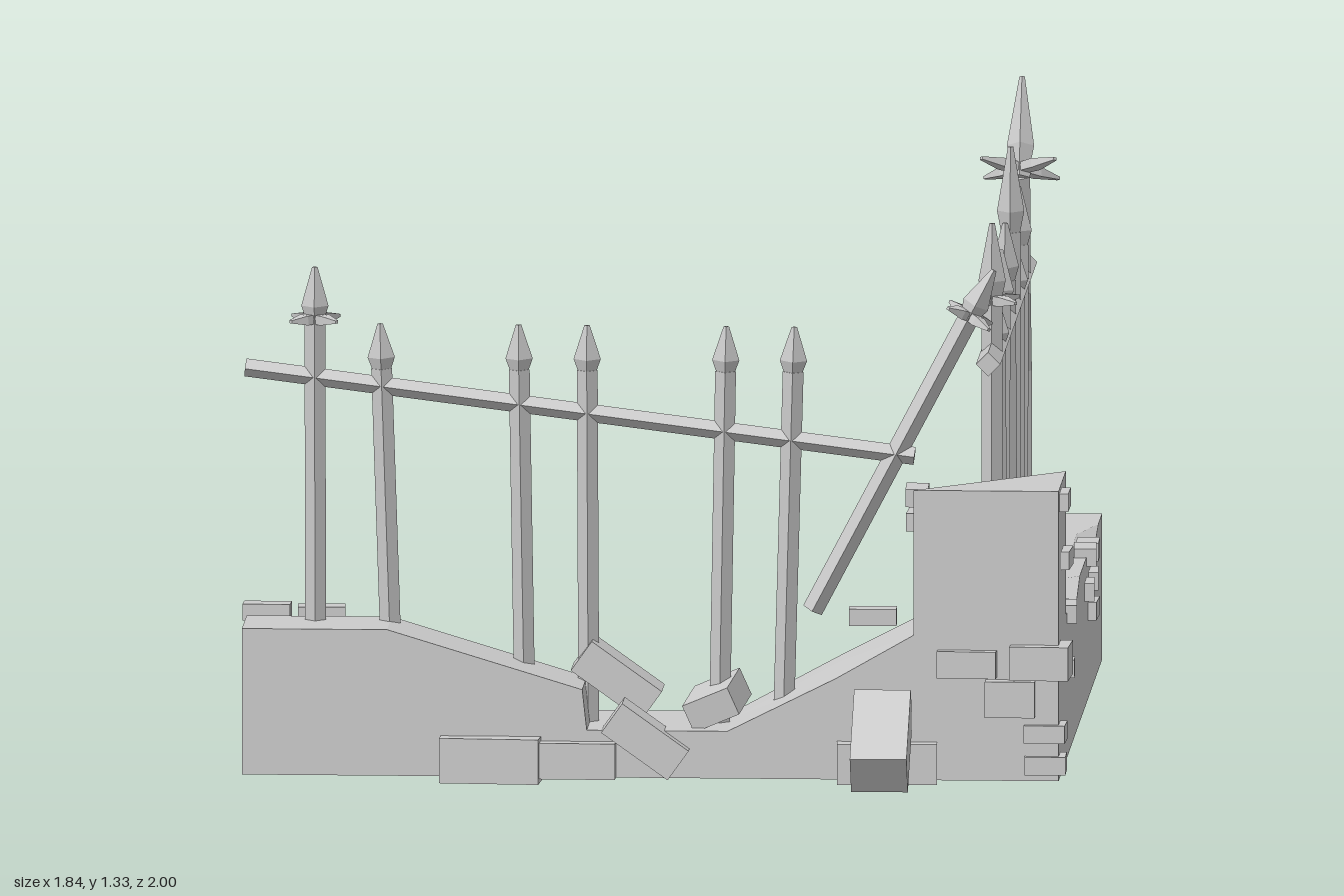
import * as THREE from 'three';

const mat = new THREE.MeshStandardMaterial({ color: 0xcccccc, flatShading: true });
const V = (x, y, z) => new THREE.Vector3(x, y, z);
const UP = V(0, 1, 0);
const BASE = 0.015, TOP = 0.34;
const BACK = 0.465, FRONT = 0.76, INNER = 0.57, OUTER = 0.89;

function group(parent, name) {
  const g = new THREE.Group();
  g.name = name;
  parent.add(g);
  return g;
}

function add(parent, geometry, name) {
  const mesh = new THREE.Mesh(geometry, mat);
  mesh.name = name;
  parent.add(mesh);
  return mesh;
}

// Closed solid through a row of equal-length cross-sections
function loft(rings) {
  const pos = [];
  const tri = (...corners) => corners.forEach(p => pos.push(p.x, p.y, p.z));
  const n = rings[0].length, last = rings[rings.length - 1];
  for (let i = 0; i < rings.length - 1; i++) {
    for (let j = 0; j < n; j++) {
      const k = (j + 1) % n;
      tri(rings[i][j], rings[i][k], rings[i + 1][k]);
      tri(rings[i][j], rings[i + 1][k], rings[i + 1][j]);
    }
  }
  for (let j = 1; j < n - 1; j++) {
    tri(rings[0][0], rings[0][j + 1], rings[0][j]);
    tri(last[0], last[j], last[j + 1]);
  }
  const g = new THREE.BufferGeometry();
  g.setAttribute('position', new THREE.Float32BufferAttribute(pos, 3));
  g.computeVertexNormals();
  return g;
}

// Four-sided bar between two points
function bar(parent, a, b, r0, r1, name) {
  const d = b.clone().sub(a);
  const m = add(parent, new THREE.CylinderGeometry(r1, r0, d.length(), 4), name);
  m.position.copy(a).addScaledVector(d, 0.5);
  m.quaternion.setFromUnitVectors(UP, d.normalize());
}

// Spear head from a to b, with an optional four-armed collar of the given size
function spear(parent, a, b, collar) {
  const d = b.clone().sub(a);
  const len = d.length(), wide = len * 0.25;
  const head = group(parent, 'spearHead');
  head.position.copy(a);
  head.quaternion.setFromUnitVectors(UP, d.normalize());
  bar(head, V(0, 0, 0), V(0, wide, 0), 0.021, 0.03, 'spearNeck');
  bar(head, V(0, wide, 0), V(0, len, 0), 0.03, 0.006, 'spearTip');
  if (!collar) return;
  const cross = group(head, 'collar');
  cross.scale.y = 0.75;
  for (let i = 0; i < 4; i++) {
    const t = Math.PI / 4 + i * Math.PI / 2;
    const end = V(Math.cos(t), 0, Math.sin(t)).multiplyScalar(collar);
    const mid = end.clone().multiplyScalar(0.45);
    bar(cross, V(0, 0, 0), mid, 0.018, 0.02, 'collarArm');
    bar(cross, mid, end, 0.02, 0.006, 'collarPoint');
  }
}

// Fence post along a path; the last point is the tip of its head
function post(parent, path, head = 0.1, collar = 0, name = 'fencePost') {
  const g = group(parent, name);
  const [bend, tip] = path.slice(-2);
  const neck = tip.clone().addScaledVector(tip.clone().sub(bend).normalize(), -head);
  const shaft = [...path.slice(0, -1), neck];
  for (let i = 0; i < shaft.length - 1; i++) bar(g, shaft[i], shaft[i + 1], 0.023, 0.023, 'postShaft');
  spear(g, neck, tip, collar);
}

function brick(parent, x, y, z, w, h, d) {
  const b = add(parent, new THREE.BoxGeometry(w, h, d), 'brick');
  b.position.set(x, y, z);
  // slight turn for a hand-laid look
  b.rotation.y = 0.06 * Math.sin(40 * (x + y + z));
  return b;
}

function buildWalls(parent) {
  // Broken front wall: x, height at the back, height at the front
  add(parent, loft([
    [-0.91, 0.26, TOP], [-0.59, 0.27, TOP], [-0.16, 0.17, 0.21], [-0.15, 0.12, 0.12],
    [0.16, 0.12, 0.12], [0.4, 0.25, 0.24], [0.575, TOP, TOP],
  ].map(([x, yb, yf]) => [
    V(x, BASE, FRONT), V(x, BASE, BACK), V(x, yb, BACK), V(x, Math.max(yb, yf), 0.57), V(x, yf, FRONT),
  ])), 'frontWall');

  // Side wall with chipped top edges: z, inner edge height, outer edge height
  add(parent, loft([
    [-1, TOP, TOP], [-0.85, 0.32, TOP], [-0.7, 0.3, 0.315], [-0.55, 0.32, TOP],
    [-0.1, 0.31, TOP], [0.05, 0.33, 0.3], [0.18, TOP, 0.33], [0.47, TOP, TOP],
  ].map(([z, yi, yo]) => [
    V(INNER, BASE, z), V(OUTER, BASE, z), V(OUTER, yo, z),
    V(yo < 0.31 ? 0.76 : 0.85, TOP, z), V(0.6, TOP, z), V(INNER, yi, z),
  ])), 'sideWall');

  // Corner pillar with one broken corner
  add(parent, loft([[BACK, 0.56], [FRONT, 0.66]].map(([z, yi]) => [
    V(INNER, BASE, z), V(OUTER, BASE, z), V(OUTER, 0.66, z), V(INNER, yi, z),
  ])), 'cornerPillar');
}

function buildBricks(parent) {
  // Front face: x, y, width, height; thicker bricks stand out further
  for (const [x, y, w, h] of [
    [-0.36, 0.055, 0.22, 0.1], [-0.17, 0.055, 0.17, 0.08], [0.51, 0.055, 0.22, 0.09], [0.69, 0.275, 0.13, 0.06],
    [0.85, 0.28, 0.13, 0.075], [0.785, 0.2, 0.11, 0.08], [0.86, 0.12, 0.09, 0.04], [0.86, 0.05, 0.09, 0.04],
  ]) brick(parent, x, y, 0.735, w, h, h + 0.04);

  // Back face: two large foundation bricks and several small ones
  for (const x of [-0.2, 0.15]) brick(parent, x, 0.05, 0.46, 0.2, 0.075, 0.08);
  for (const [x, y] of [[-0.87, 0.335], [-0.75, 0.33], [-0.8, 0.285], [-0.87, 0.235], [0.465, 0.335]]) {
    brick(parent, x, y, 0.47, 0.105, 0.037, 0.05);
  }

  // Outer and inner faces of the side wall and pillar: z, y
  for (const [z, y] of [
    [0.68, 0.63], [0.61, 0.49], [0.475, 0.225], [0.38, 0.335],
    [-0.33, 0.275], [-0.41, 0.34], [-0.49, 0.275], [-0.48, 0.21], [-0.52, 0.335],
  ]) brick(parent, 0.885, y, z, 0.05, 0.04, z === 0.475 ? 0.05 : 0.095);
  for (const [z, y] of [[0.6, 0.625], [0.53, 0.56], [-0.37, 0.24], [-0.31, 0.2], [-0.2, 0.19], [-0.11, 0.13]]) {
    brick(parent, INNER, y, z, 0.05, 0.04, 0.095);
  }

  // Loose rubble
  brick(parent, -0.09, 0.215, 0.61, 0.19, 0.08, 0.11).rotation.set(0, 0, -0.62);
  brick(parent, -0.02, 0.1, 0.745, 0.18, 0.08, 0.1).rotation.set(0, 0, -0.62);
  brick(parent, 0.13, 0.17, 0.635, 0.11, 0.065, 0.18).rotation.set(0.1, -0.1, 0.42);
  brick(parent, 0.505, 0.12, 0.88, 0.125, 0.1, 0.22).rotation.set(0.62, 0, 0);
}

function buildFrontFence(parent) {
  const F = (x, y) => V(x, y, 0.62);
  bar(parent, F(-0.91, 0.9), F(0.565, 0.715), 0.02, 0.02, 'frontRail');
  post(parent, [F(-0.755, 0.3), F(-0.757, 1.125)], 0.115, 0.072);
  // foot x, foot y, tip x
  for (const [x0, y0, x1] of [
    [-0.59, 0.3, -0.613], [-0.295, 0.2, -0.308], [-0.153, 0.1, -0.157], [0.135, 0.1, 0.15], [0.277, 0.15, 0.3],
  ]) post(parent, [F(x0, y0), F(x1, 1)]);
  post(parent, [F(0.34, 0.37), F(0.74, 1.13)], 0.115, 0.072, 'fallenPost');
}

function buildSideFence(parent) {
  const S = (z, y) => V(0.72, y, z);
  bar(parent, S(0.49, 0.9), S(-0.995, 0.9), 0.027, 0.027, 'sideRail');
  post(parent, [S(0.33, 0.3), S(0.33, 1.19)], 0.17, 0.078);
  // foot z, tip z, tip y, head length
  for (const [z0, z1, y1, head] of [
    [0.165, 0.19, 1, 0.1], [0.057, -0.005, 1.08, 0.12], [-0.272, -0.195, 1.11, 0.13],
    [-0.42, -0.42, 1.245, 0.19], [-0.575, -0.573, 1, 0.1], [-0.7, -0.728, 1.11, 0.13],
  ]) post(parent, [S(z0, 0.3), S(z1, y1)], head);
  const bent = [S(-0.862, 0.3), S(-0.858, 0.68), S(-0.812, 0.86), S(-0.79, 1.12), S(-0.885, 1.33)];
  post(parent, bent, 0.21, 0.115, 'bentPost');
}

export function createModel() {
  const model = new THREE.Group();
  model.name = 'ruinedFence';
  buildWalls(group(model, 'walls'));
  buildBricks(group(model, 'bricks'));
  buildFrontFence(group(model, 'frontFence'));
  buildSideFence(group(model, 'sideFence'));
  return model;
}
